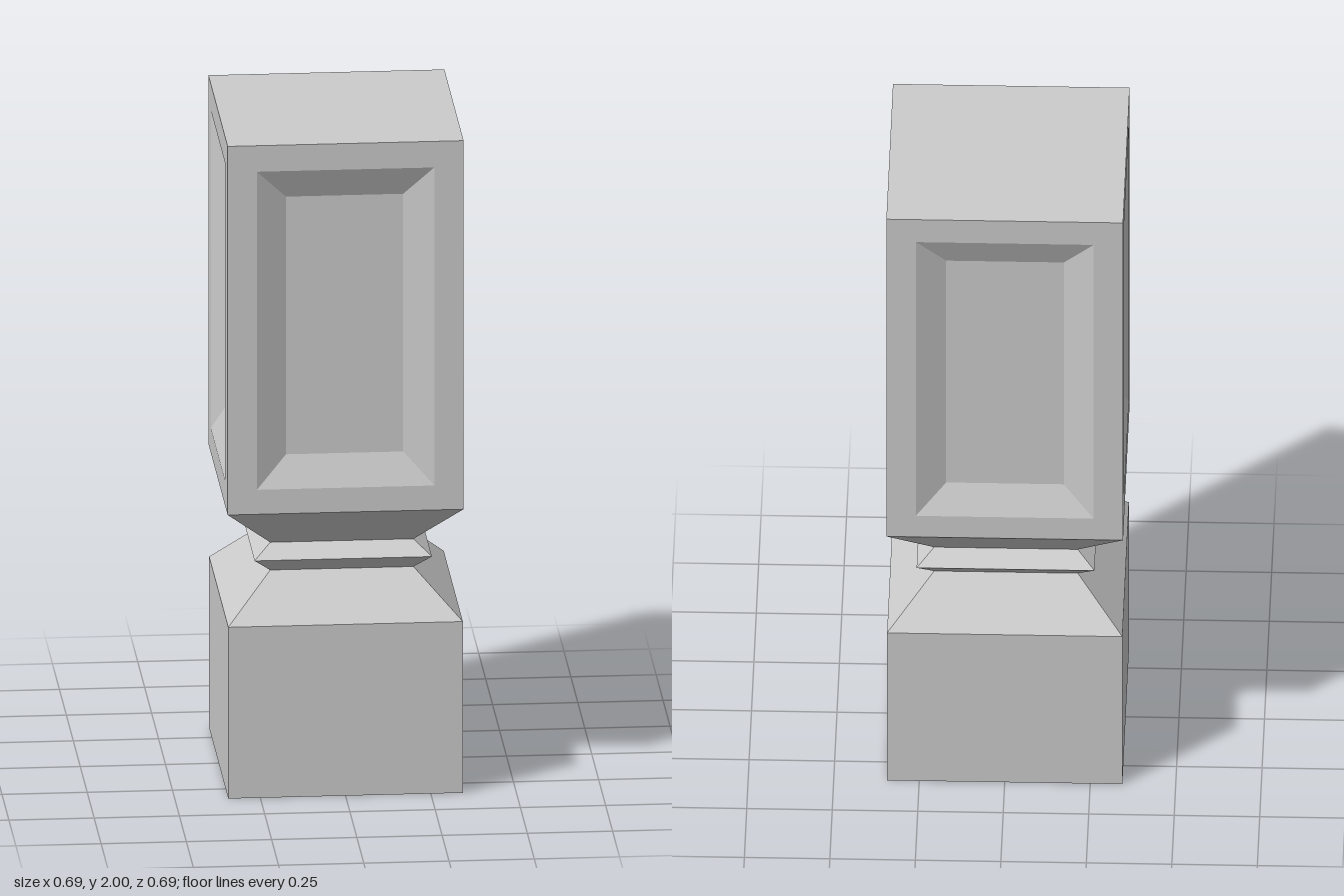
import * as THREE from 'three';

const HALF = 0.346; // half width of the square post

const material = new THREE.MeshStandardMaterial({ color: 0xcccccc, flatShading: true });

// Square solid of revolution: profile of [half width, y], listed bottom to top
function squareTurned(name, profile) {
  const points = profile.map(([h, y]) => new THREE.Vector2(h * Math.SQRT2, y));
  const geometry = new THREE.LatheGeometry(points, 4, Math.PI / 4).toNonIndexed();
  geometry.computeVertexNormals();
  const mesh = new THREE.Mesh(geometry, material);
  mesh.name = name;
  return mesh;
}

// Nested rectangles [half width, bottom, top, z] joined outside to inside, the last one filled
function panelGeometry(rings) {
  const corners = rings.map(([h, y0, y1, z]) => [[-h, y0, z], [h, y0, z], [h, y1, z], [-h, y1, z]]);
  const positions = [];
  const quad = (a, b, c, d) => positions.push(...a, ...b, ...c, ...a, ...c, ...d);
  for (let r = 0; r + 1 < corners.length; r++) {
    for (let i = 0; i < 4; i++) {
      const j = (i + 1) % 4;
      quad(corners[r][i], corners[r][j], corners[r + 1][j], corners[r + 1][i]);
    }
  }
  quad(...corners[corners.length - 1]);
  const geometry = new THREE.BufferGeometry();
  geometry.setAttribute('position', new THREE.Float32BufferAttribute(positions, 3));
  geometry.computeVertexNormals();
  return geometry;
}

export function createModel() {
  const model = new THREE.Group();
  model.name = 'squarePost';

  // Plain foot block, tapering into the neck, with its ridge and flare
  model.add(squareTurned('base', [[0, 0], [0.344, 0], [0.344, 0.525], [0.21, 0.655]]));
  model.add(squareTurned('neckRidge', [[0.21, 0.655], [0.26, 0.70], [0.21, 0.74]]));
  model.add(squareTurned('neckFlare', [[0.21, 0.74], [HALF, 0.87]]));

  // Four sides of the upper block, each with a bevelled sunken panel
  const panel = panelGeometry([
    [HALF, 0.87, 2, HALF],
    [0.26, 0.945, 1.92, HALF],
    [0.172, 1.04, 1.83, HALF - 0.037],
  ]);
  ['front', 'left', 'back', 'right'].forEach((side, i) => {
    const mesh = new THREE.Mesh(panel, material);
    mesh.name = side + 'Panel';
    mesh.rotation.y = (i * Math.PI) / 2;
    model.add(mesh);
  });

  // Flat top
  const top = new THREE.Mesh(new THREE.PlaneGeometry(2 * HALF, 2 * HALF), material);
  top.name = 'top';
  top.rotation.x = -Math.PI / 2;
  top.position.y = 2;
  model.add(top);

  return model;
}
